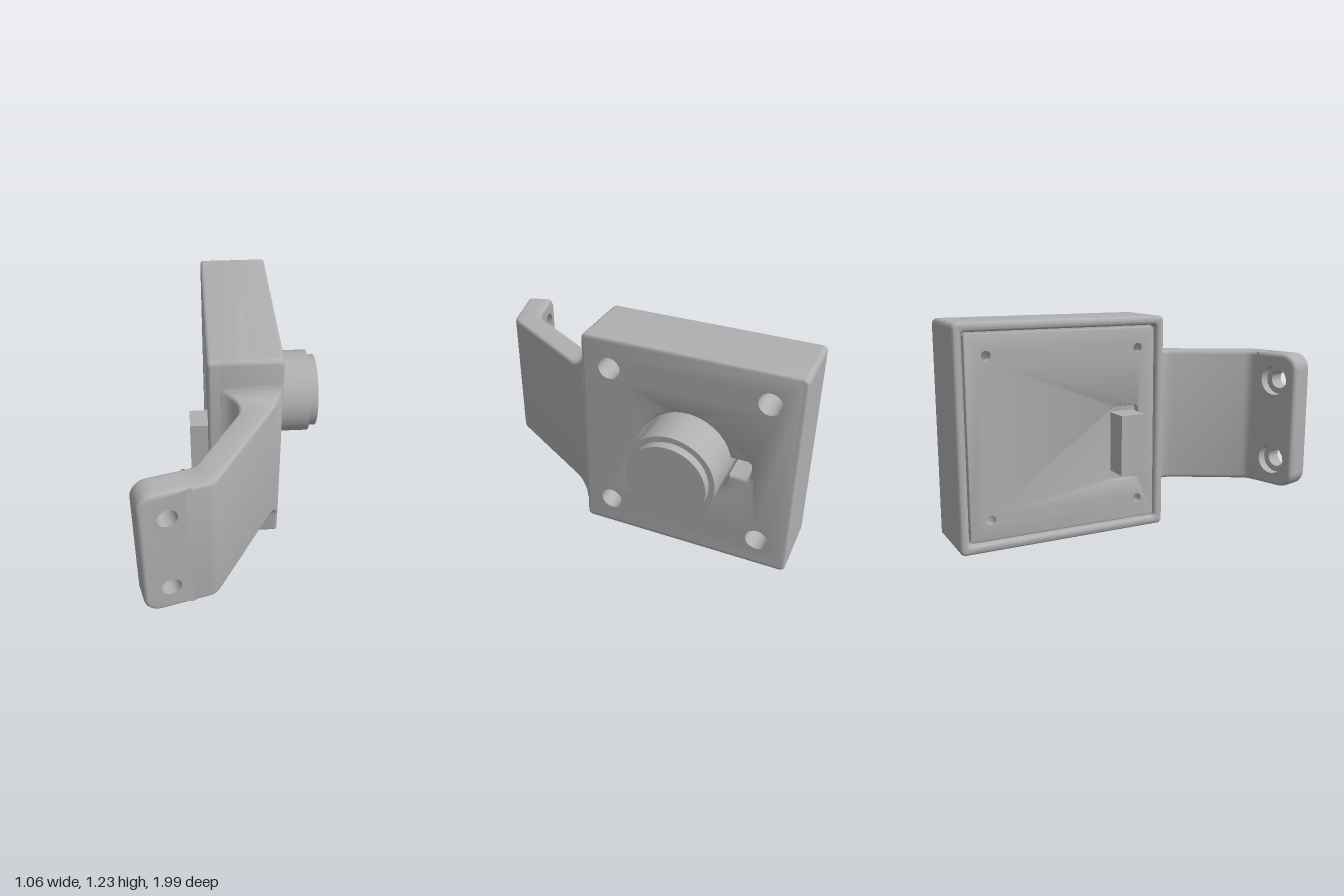
import * as THREE from 'three';
import { toCreasedNormals } from 'three/addons/utils/BufferGeometryUtils.js';

const MID_Y = 0.617; // centre height of the bracket
const SCREWS = [-0.06, 0.825].flatMap(u => [0.175, 1.055].map(y => [u, y]));

// Rounded rectangle; rLeft / rRight are the corner radii on each end
function roundRect(T, x0, x1, y0, y1, rLeft, rRight = rLeft) {
  const s = new T();
  s.moveTo(x0 + rLeft, y0);
  s.lineTo(x1 - rRight, y0);
  s.absarc(x1 - rRight, y0 + rRight, rRight, -Math.PI / 2, 0);
  s.lineTo(x1, y1 - rRight);
  s.absarc(x1 - rRight, y1 - rRight, rRight, 0, Math.PI / 2);
  s.lineTo(x0 + rLeft, y1);
  s.absarc(x0 + rLeft, y1 - rLeft, rLeft, Math.PI / 2, Math.PI);
  s.lineTo(x0, y0 + rLeft);
  s.absarc(x0 + rLeft, y0 + rLeft, rLeft, Math.PI, Math.PI * 1.5);
  return s;
}

// Slab from t0 to t1 with rounded edges; round holes [x, y, r] keep sharp rims
function slab(shape, t0, t1, bevel, roundHoles = []) {
  for (const [x, y, r] of roundHoles) {
    shape.holes.push(new THREE.Path().absarc(x, y, r, 0, Math.PI * 2, true));
  }
  const g = new THREE.ExtrudeGeometry(shape, {
    depth: t1 - t0 - 2 * bevel, bevelThickness: bevel, bevelSize: bevel,
    bevelOffset: -bevel, bevelSegments: 4, curveSegments: 16,
  });
  g.translate(0, 0, t0 + bevel);
  const p = g.attributes.position;
  for (let i = 0; i < p.count; i++) {
    for (const [x, y, r] of roundHoles) {
      const dx = p.getX(i) - x, dy = p.getY(i) - y, d = Math.hypot(dx, dy);
      if (d < r + bevel + 0.003) p.setXY(i, x + dx * r / d, y + dy * r / d);
    }
  }
  return toCreasedNormals(g, 0.6);
}

// Skin through sections {o, i, h}: outer and inner (x, z) edge and half height
function loft(sections, r) {
  const pos = [], index = [], SEG = 4, n = 4 * (SEG + 1);
  for (const { o, i, h } of sections) {
    const w = o.distanceTo(i), dir = i.clone().sub(o).divideScalar(w);
    for (let c = 0; c < 4; c++) {
      for (let k = 0; k <= SEG; k++) {
        const a = (c + k / SEG) * Math.PI / 2;
        const u = (c < 2 ? w - r : r) + r * Math.sin(a);
        const y = (c === 0 || c === 3 ? h - r : r - h) + r * Math.cos(a);
        pos.push(o.x + dir.x * u, MID_Y + y, o.y + dir.y * u);
      }
    }
  }
  for (let s = 0; s < sections.length - 1; s++) {
    for (let j = 0; j < n; j++) {
      const a = s * n + j, b = s * n + (j + 1) % n;
      index.push(a, b, a + n, b, b + n, a + n);
    }
  }
  const g = new THREE.BufferGeometry();
  g.setAttribute('position', new THREE.Float32BufferAttribute(pos, 3));
  g.setIndex(index);
  return toCreasedNormals(g.toNonIndexed(), 0.6);
}

export function createModel() {
  const group = new THREE.Group();
  const metal = new THREE.MeshStandardMaterial({ color: 0xb0b0b0 });
  metal.name = 'grey metal';
  const add = (name, geometry) => {
    const m = new THREE.Mesh(geometry, metal);
    m.name = name;
    group.add(m);
    return m;
  };
  // Slabs of the case are drawn in (-z, y) and grow along +x
  const addCase = (name, geometry) => add(name, geometry.rotateY(Math.PI / 2));
  const outline = () => roundRect(THREE.Shape, -0.225, 1, 0, 1.23, 0.03);

  // Case block with keyhole-shaped opening and screw holes
  const block = outline();
  const lockU = 0.385, lockY = 0.62, holeR = 0.262, slot = 0.055;
  const a = Math.asin(slot / holeR), slotEnd = 0.76;
  const keyhole = new THREE.Path();
  keyhole.absarc(lockU, lockY, holeR, a, Math.PI * 2 - a);
  keyhole.lineTo(slotEnd - 0.03, lockY - slot);
  keyhole.absarc(slotEnd - 0.03, lockY - slot + 0.03, 0.03, -Math.PI / 2, 0);
  keyhole.absarc(slotEnd - 0.03, lockY + slot - 0.03, 0.03, 0, Math.PI / 2);
  keyhole.closePath();
  block.holes.push(keyhole);
  addCase('caseBlock', slab(block, -0.09, 0.26, 0.018, SCREWS.map(([x, y]) => [x, y, 0.063])));

  // Raised rim around the cover
  const rim = outline();
  rim.holes.push(roundRect(THREE.Path, -0.175, 0.95, 0.05, 1.18, 0.02));
  addCase('caseRim', slab(rim, -0.145, 0.1, 0.02));

  // Inset cover with bolt slot and small screw holes
  const cover = roundRect(THREE.Shape, -0.165, 0.94, 0.06, 1.17, 0.015);
  cover.holes.push(roundRect(THREE.Path, -0.065, 0.11, 0.3, 0.73, 0.03));
  addCase('cover', slab(cover, -0.13, -0.085, 0.004, SCREWS.map(([x, y]) => [x, y, 0.026])));

  // Bolt
  add('bolt', new THREE.BoxGeometry(0.16, 0.34, 0.15)).position.set(-0.165, 0.525, -0.025);

  // Lock cylinder and its stepped cap
  for (const [name, r, x0, x1] of [['lockCylinder', 0.251, -0.09, 0.48], ['lockCap', 0.22, 0.47, 0.53]]) {
    const g = new THREE.CylinderGeometry(r, r, x1 - x0, 64).rotateZ(-Math.PI / 2);
    add(name, g).position.set((x0 + x1) / 2, lockY, -lockU);
  }

  // Bracket arm: flared root, slanted web, rounded bend
  const V = (x, y) => new THREE.Vector2(x, y);
  const along = (p, d, k) => p.clone().addScaledVector(d, k);
  const armDir = V(-0.506, 0.863), flangeDir = V(-0.964, 0.267).normalize();
  const inward = V(-flangeDir.y, flangeDir.x);
  const outerBend = V(-0.133, 0.895), innerBend = V(-0.229, 0.772);
  const H = 0.3925, thick = 0.145;
  const root = new THREE.QuadraticBezierCurve(V(-0.125, 0.22), V(0.045, 0.225), V(0.007, 0.37));
  const sections = [{ o: V(0.258, 0.19), i: V(-0.125, 0.19), h: H + 0.1 }];
  for (let k = 0; k <= 10; k++) {
    const t = (k / 10) ** 1.5;
    sections.push({
      o: along(V(0.258, 0.222), armDir, 0.12 * t), i: root.getPoint(t),
      h: H + 0.1 * (1 - Math.sqrt(1 - (1 - t) ** 2)),
    });
  }
  const bend = p => new THREE.QuadraticBezierCurve(along(p, armDir, -0.035), p, along(p, flangeDir, 0.035));
  const bendO = bend(outerBend), bendI = bend(innerBend);
  for (let k = 0; k <= 5; k++) {
    sections.push({ o: bendO.getPoint(k / 5), i: bendI.getPoint(k / 5), h: H });
  }
  const end = along(outerBend, flangeDir, 0.14);
  sections.push({ o: end, i: along(end, inward, thick), h: H });
  add('bracketArm', loft(sections, 0.022));

  // Mounting flange: two layers give the counterbored screw holes
  const basis = new THREE.Matrix4().makeBasis(
    new THREE.Vector3(flangeDir.x, 0, flangeDir.y),
    new THREE.Vector3(0, 1, 0),
    new THREE.Vector3(inward.x, 0, inward.y),
  ).setPosition(outerBend.x, 0, outerBend.y);
  for (const [name, t0, t1, r] of [['flangeFront', 0, 0.09, 0.052], ['flangeBack', 0.04, thick, 0.085]]) {
    const shape = roundRect(THREE.Shape, 0.1, 0.38, MID_Y - H, MID_Y + H, 0.003, 0.09);
    const holes = [0.38, 0.852].map(y => [0.235, y, r]);
    add(name, slab(shape, t0, t1, 0.022, holes).applyMatrix4(basis));
  }
  return group;
}
